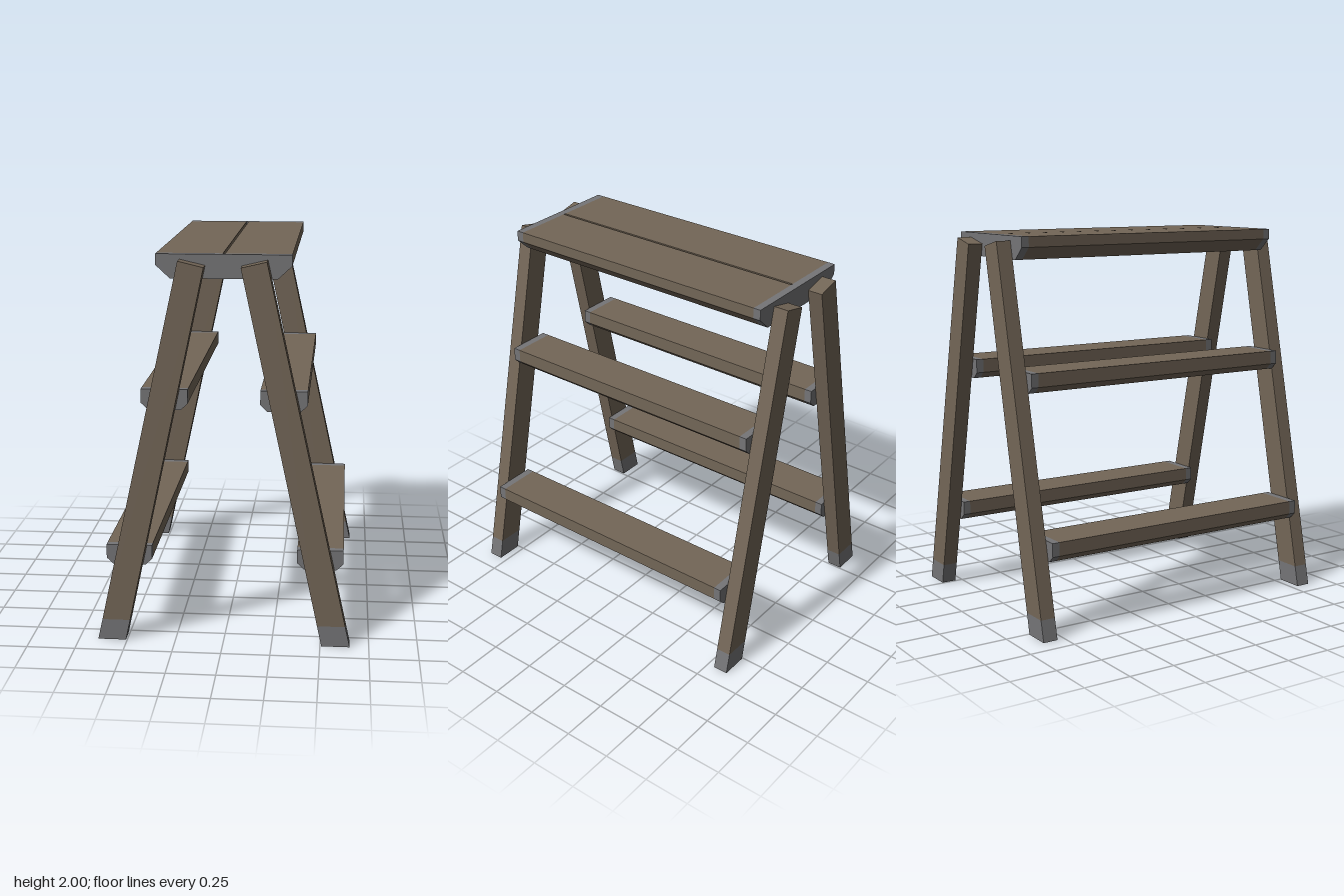
import * as THREE from 'three';

const wood = new THREE.MeshStandardMaterial({ color: 0x736657 });
wood.name = 'brown wood';
const rubber = new THREE.MeshStandardMaterial({ color: 0x757577 });
rubber.name = 'grey plastic';

const LEG_IN = 0.79, LEG_OUT = 0.87; // z range of the legs
const CAP_IN = 0.75;                 // where boards meet their end caps

// Extrude a front-facing outline between two z values
function prism(name, points, z0, z1, material) {
  const shape = new THREE.Shape(points.map(([x, y]) => new THREE.Vector2(x, y)));
  const geometry = new THREE.ExtrudeGeometry(shape, { depth: z1 - z0, bevelEnabled: false });
  geometry.translate(0, 0, z0);
  const mesh = new THREE.Mesh(geometry, material);
  mesh.name = name;
  return mesh;
}

// Board outline with chamfered lower corners
const boardOutline = (x0, x1, y0, y1, cx, cy) => [
  [x0, y1], [x0, y0 + cy], [x0 + cx, y0], [x1 - cx, y0], [x1, y0 + cy], [x1, y1],
];

// Grey caps at both ends of a board
function addEndCaps(group, outline) {
  group.add(prism('frontEndCap', outline, CAP_IN, LEG_IN, rubber));
  group.add(prism('backEndCap', outline, -LEG_IN, -CAP_IN, rubber));
}

function createLeg(side, z0) {
  const leg = new THREE.Group();
  leg.name = 'leg';
  const mirror = (pts) => pts.map(([x, y]) => [side * x, y]);
  const footY = 0.11;
  const inner = 0.507 - footY * 0.2144, outer = 0.652 - footY * 0.2203;
  leg.add(prism('legPost', mirror([[inner, footY], [outer, footY], [0.217, 1.975], [0.09, 1.945]]), z0, z0 + LEG_OUT - LEG_IN, wood));
  leg.add(prism('legFoot', mirror([[0.507, 0], [0.652, 0], [outer, footY], [inner, footY]]), z0, z0 + LEG_OUT - LEG_IN, rubber));
  return leg;
}

function createStep(name, x0, x1, y0, y1) {
  const step = new THREE.Group();
  step.name = name;
  const outline = boardOutline(x0, x1, y0, y1, 0.035, 0.033);
  step.add(prism('stepBoard', outline, -CAP_IN, CAP_IN, wood));
  addEndCaps(step, outline);
  return step;
}

function createTop() {
  const top = new THREE.Group();
  top.name = 'topPlatform';
  // Two planks with a narrow slot between them
  for (const s of [-1, 1]) {
    const half = [[0.006, 2], [0.006, 1.88], [0.265, 1.88], [0.335, 1.945], [0.335, 2]];
    top.add(prism('topPlank', half.map(([x, y]) => [s * x, y]), -CAP_IN, CAP_IN, wood));
  }
  addEndCaps(top, boardOutline(-0.335, 0.335, 1.88, 2, 0.07, 0.065));
  return top;
}

export function createModel() {
  const model = new THREE.Group();
  model.name = 'stepStool';
  for (const side of [-1, 1]) {
    for (const z0 of [LEG_IN, -LEG_OUT]) model.add(createLeg(side, z0));
    const span = (a, b) => (side > 0 ? [a, b] : [-b, -a]);
    model.add(createStep('lowerStep', ...span(0.375, 0.612), 0.387, 0.492));
    model.add(createStep('upperStep', ...span(0.182, 0.419), 1.217, 1.322));
  }
  model.add(createTop());
  return model;
}
